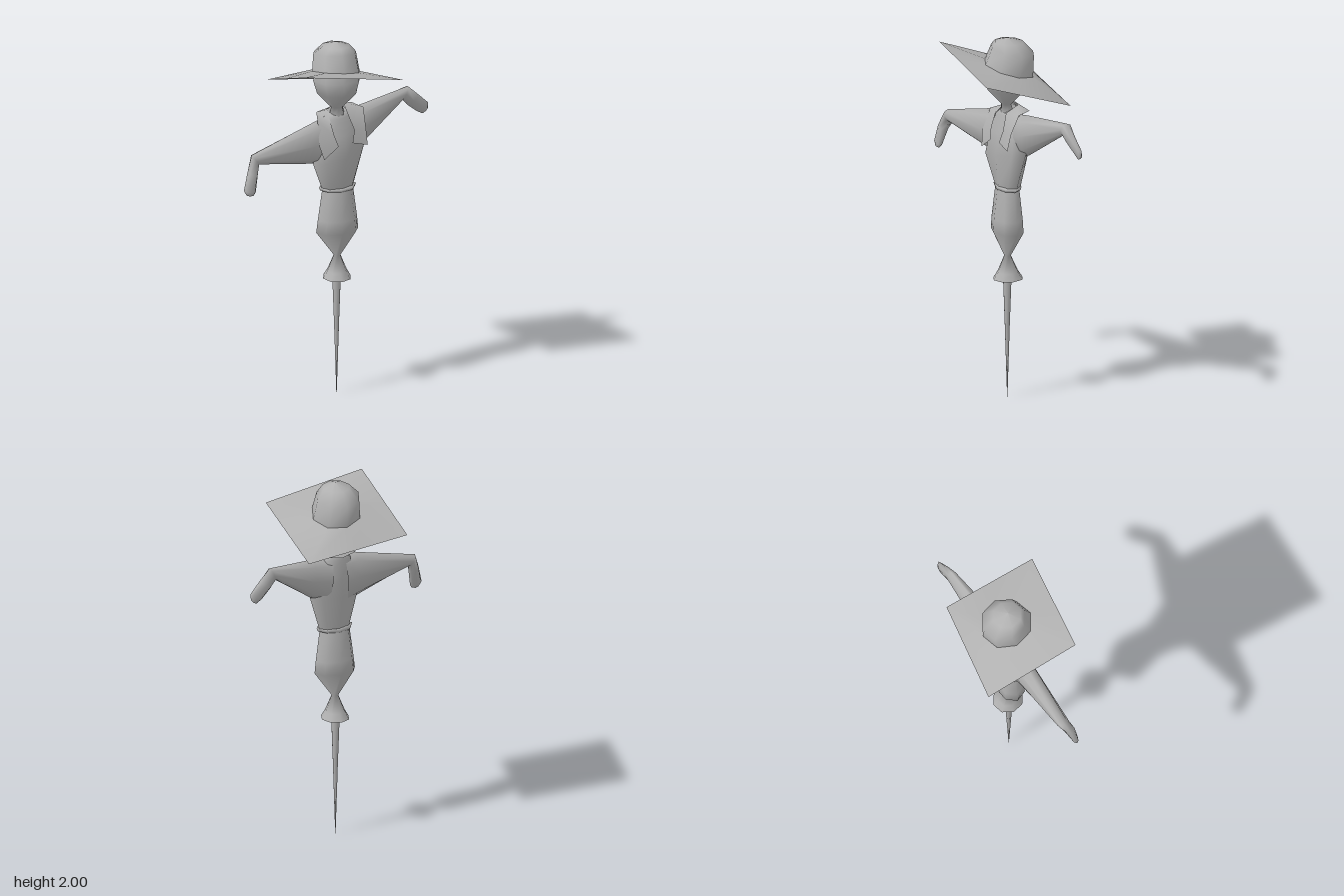
import * as THREE from 'three';

const grey = new THREE.MeshStandardMaterial({ color: 0xb0b0b0, side: THREE.DoubleSide });

// Skin over rows of points; closed joins each row's end to its start.
function skin(name, rows, closed = true) {
  const n = rows[0].length;
  const index = [];
  for (let r = 0; r < rows.length - 1; r++) {
    for (let i = 0; i < (closed ? n : n - 1); i++) {
      const a = r * n + i, b = r * n + (i + 1) % n;
      index.push(a, a + n, b, b, a + n, b + n);
    }
  }
  const geo = new THREE.BufferGeometry();
  geo.setAttribute('position', new THREE.Float32BufferAttribute(rows.flat(2), 3));
  geo.setIndex(index);
  geo.computeVertexNormals();
  const mesh = new THREE.Mesh(geo, grey);
  mesh.name = name;
  return mesh;
}

// Elliptical ring around c with half axes u and v.
function ring(c, u, v, sides = 8) {
  return Array.from({ length: sides }, (_, i) => {
    const a = (i / sides) * Math.PI * 2;
    return [0, 1, 2].map(k => c[k] + u[k] * Math.cos(a) + v[k] * Math.sin(a));
  });
}

// Upright ring: centre, radii, slopes of its plane along x and z, turn about y.
const level = (x, y, z, rx, rz, sx = 0, sz = 0, yaw = 0) =>
  ring([x, y, z], [rx, rx * sx, -rx * yaw], [rz * yaw, rz * sz, rz]);

// Arm section from its upper/outer point to its lower/inner point.
const armRing = (side, ox, oy, ix, iy, z, dz) =>
  ring([(ox + ix) / 2, (oy + iy) / 2, z], [0, 0, side * dz], [(ox - ix) / 2, (oy - iy) / 2, 0]);

export function createModel() {
  const group = new THREE.Group();
  group.name = 'scarecrow';

  // Pointed stake
  group.add(skin('stake', [
    level(0, 0, -0.012, 0.001, 0.001),
    level(0, 0.4, -0.012, 0.014, 0.014),
    level(0, 0.72, -0.012, 0.026, 0.026),
  ]));

  // Trousers, tied at the bottom with an open flared cuff
  group.add(skin('trousers', [
    level(0.003, 0.662, -0.015, 0.077, 0.083),
    level(0.003, 0.70, -0.014, 0.055, 0.058),
    level(0.003, 0.79, -0.012, 0.018, 0.018),
    level(0.003, 0.93, -0.010, 0.118, 0.08),
    level(0.004, 1.0, -0.010, 0.11, 0.077),
    level(0.005, 1.175, -0.010, 0.086, 0.058),
  ]));

  // Rope belt
  group.add(skin('belt', [
    level(0.005, 1.163, -0.011, 0.084, 0.055),
    level(0.005, 1.168, -0.011, 0.098, 0.063),
    level(0.005, 1.184, -0.011, 0.104, 0.066, 0, -0.06),
    level(0.005, 1.187, -0.011, 0.084, 0.052),
  ]));

  // Shirt body, slightly turned
  group.add(skin('shirtBody', [
    level(0.006, 1.175, -0.011, 0.09, 0.055, 0, 0, 0.1),
    level(0.010, 1.365, -0.005, 0.157, 0.076, 0.17, 0, 0.23),
    level(0.008, 1.48, -0.015, 0.135, 0.066, 0.12, 0, 0.23),
    level(0.005, 1.575, -0.022, 0.10, 0.048, 0.1, 0, 0.23),
    level(0.002, 1.61, -0.018, 0.054, 0.038, 0, -0.4, 0.1),
    level(0, 1.60, -0.014, 0.03, 0.028),
  ]));

  // Arms with drooping hands
  const arms = {
    leftArm: [1, [
      [0.04, 1.585, 0.06, 1.35, -0.035, 0.06],
      [0.15, 1.605, 0.168, 1.388, -0.062, 0.062],
      [0.45, 1.636, 0.418, 1.566, -0.15, 0.03],
      [0.513, 1.577, 0.45, 1.527, -0.158, 0.022],
      [0.573, 1.518, 0.508, 1.478, -0.172, 0.014],
      [0.572, 1.485, 0.54, 1.46, -0.175, 0.009],
      [0.556, 1.467, 0.556, 1.467, -0.175, 0],
    ]],
    rightArm: [-1, [
      [-0.04, 1.58, -0.05, 1.31, -0.02, 0.06],
      [-0.12, 1.575, -0.152, 1.335, 0.008, 0.062],
      [-0.515, 1.463, -0.475, 1.408, 0.092, 0.033],
      [-0.548, 1.38, -0.49, 1.36, 0.118, 0.028],
      [-0.575, 1.285, -0.508, 1.27, 0.137, 0.018],
      [-0.56, 1.258, -0.52, 1.255, 0.14, 0.01],
      [-0.54, 1.25, -0.54, 1.25, 0.14, 0],
    ]],
  };
  for (const [name, [side, sections]] of Object.entries(arms)) {
    group.add(skin(name, sections.map(s => armRing(side, ...s))));
  }

  // Scarf: outer and inner edge from one tail, around the neck, to the other
  group.add(skin('scarf', [
    [[-0.105, 1.378, 0.088], [-0.02, 1.44, 0.078]],
    [[-0.128, 1.455, 0.076], [-0.04, 1.50, 0.062]],
    [[-0.122, 1.58, 0.03], [-0.052, 1.575, 0.032]],
    [[-0.10, 1.60, -0.05], [-0.05, 1.62, -0.02]],
    [[0, 1.60, -0.10], [0, 1.64, -0.055]],
    [[0.11, 1.615, -0.09], [0.05, 1.635, -0.05]],
    [[0.15, 1.61, -0.01], [0.05, 1.60, 0.018]],
    [[0.148, 1.51, 0.035], [0.078, 1.51, 0.05]],
    [[0.15, 1.42, 0.058], [0.062, 1.445, 0.066]],
  ], false));

  // Sack head with a tied neck
  group.add(skin('head', [
    level(0, 1.585, -0.012, 0.045, 0.036),
    level(0, 1.635, -0.006, 0.032, 0.026),
    level(0, 1.725, -0.005, 0.112, 0.108),
    level(0, 1.80, -0.005, 0.134, 0.116),
    level(0, 1.87, -0.018, 0.118, 0.11),
  ]));

  // Hat crown
  const hatBase = level(0, 1.83, -0.022, 0.134, 0.136, -0.13, 0.26);
  group.add(skin('hatCrown', [
    hatBase,
    level(0, 1.928, -0.043, 0.12, 0.12, -0.06, 0.2),
    level(0, 1.978, -0.022, 0.074, 0.08, -0.03, 0.06),
    level(0, 2.0, -0.015, 0, 0),
  ]));

  // Square tilted brim: four corners with edge midpoints, in ring order
  const corners = [
    [0.286, 1.84, 0.243], [-0.28, 1.932, 0.253],
    [-0.305, 1.735, -0.257], [0.27, 1.667, -0.255],
  ];
  const edge = corners.flatMap((c, i) => {
    const prev = corners[(i + 3) % 4];
    return [c.map((v, k) => (v + prev[k]) / 2), c];
  });
  group.add(skin('hatBrim', [edge, hatBase]));

  return group;
}
